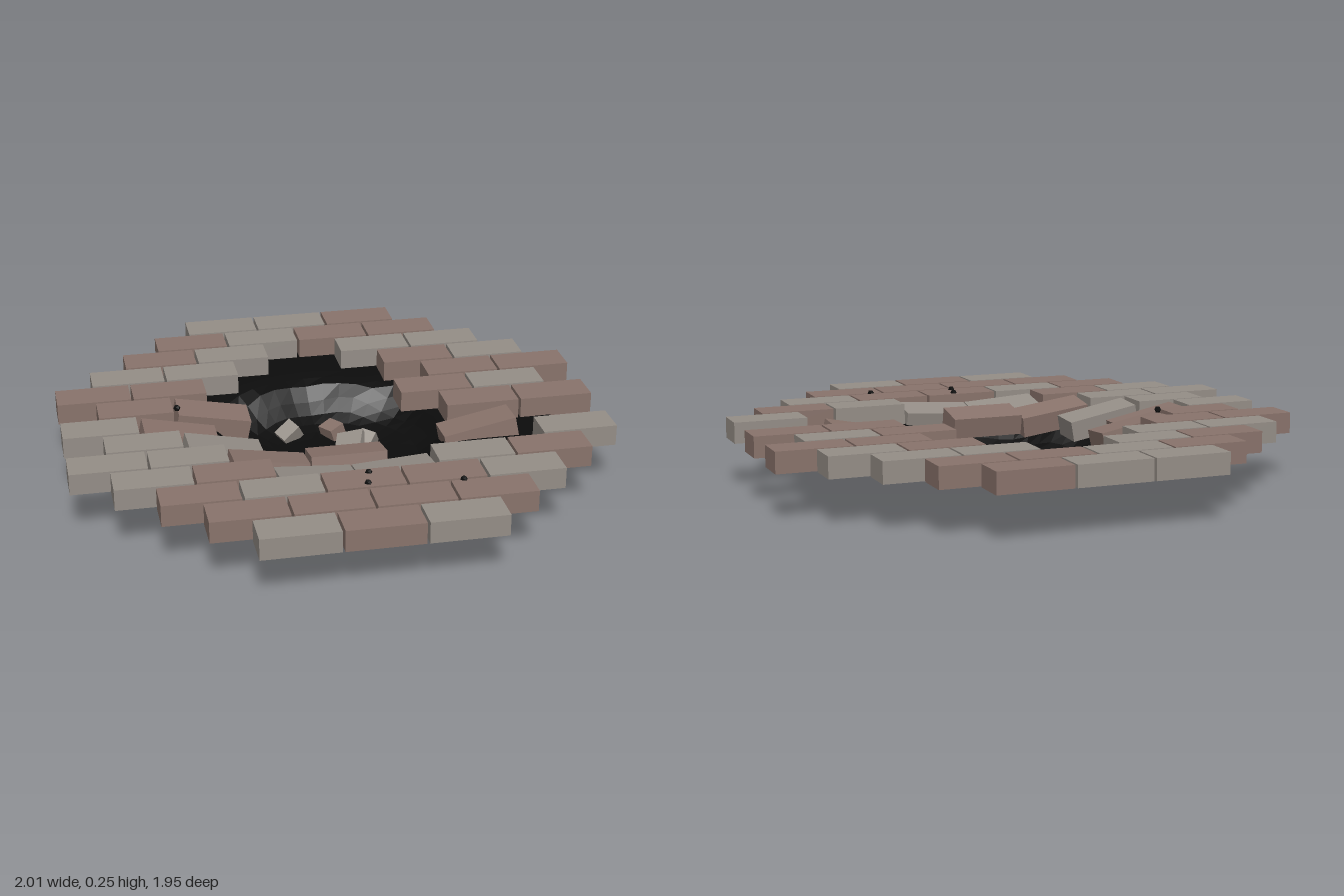
import * as THREE from 'three';

const BROWN = 0x8a746c, GREY = 0x968f88, BLACK = 0x0c0c0c;
const mat = (color) => new THREE.MeshStandardMaterial({ color, flatShading: true, side: THREE.DoubleSide });
const mats = { b: mat(BROWN), g: mat(GREY), k: mat(BLACK) };

// Rows of the brick bond: first column, then b = brown, g = grey, lower case = sunken, dot = gone
const ROWS = [
  [-1, 'GGB'], [-1.5, 'BGBB'], [-2, 'BG.GG'], [-2.5, 'GG..BG'], [-3, 'BB...BB'],
  [-2.5, 'Bb..BG'], [-3, 'Gb...BB'], [-2.5, 'Gg'], [-3, 'GGbb..G'],
  [-2.5, 'GBggGB'], [-2, 'BGBBG'], [-1.5, 'BBBB'], [-1, 'GBG'],
];
const ANGLE = THREE.MathUtils.degToRad(25);
const PITCH = 0.273, ROW = 0.1377, TOP_ROW = -0.837;
const UP = new THREE.Vector3(0, 1, 0);

// Box without its underside
function openBox(w, h, d) {
  const geo = new THREE.BoxGeometry(w, h, d);
  const idx = Array.from(geo.index.array);
  idx.splice(18, 6);
  geo.setIndex(idx);
  geo.clearGroups();
  return geo;
}

// Black ground disc pressed down into a ragged pit
function craterGeometry() {
  const profile = [[0, 0.03], [0.22, 0.035], [0.31, 0.055], [0.36, 0.09], [0.42, 0.15], [0.5, 0.162], [0.81, 0.163]];
  const geo = new THREE.RingGeometry(0.001, 0.81, 40, 18);
  geo.rotateX(-Math.PI / 2);
  const p = geo.attributes.position;
  for (let i = 0; i < p.count; i++) {
    const x = p.getX(i), z = p.getZ(i), a = Math.atan2(z, x);
    const r = Math.hypot(x, z);
    const rr = r * (1 + 0.06 * Math.sin(3 * a + 1) + 0.04 * Math.sin(7 * a));
    let k = 1;
    while (k < profile.length - 1 && profile[k][0] < rr) k++;
    const [r0, y0] = profile[k - 1], [r1, y1] = profile[k];
    const t = Math.min(1, (rr - r0) / (r1 - r0));
    p.setXYZ(i, Math.min(x, 0.76), y0 + (y1 - y0) * t, z);
  }
  // gap broken through near the front of the pit
  const src = geo.index.array, kept = [];
  for (let i = 0; i < src.length; i += 3) {
    const tri = [src[i], src[i + 1], src[i + 2]];
    const cx = tri.reduce((s, v) => s + p.getX(v), 0) / 3;
    const cz = tri.reduce((s, v) => s + p.getZ(v), 0) / 3;
    if (!(cx > 0.08 && cx < 0.3 && cz > 0.36 && cz < 0.46)) kept.push(...tri);
  }
  geo.setIndex(kept);
  geo.computeVertexNormals();
  return geo;
}

export function createModel() {
  const model = new THREE.Group();
  model.name = 'brickCrater';

  const add = (parent, name, geo, material, x, y, z) => {
    const mesh = new THREE.Mesh(geo, material);
    mesh.name = name;
    mesh.position.set(x, y, z);
    parent.add(mesh);
    return mesh;
  };

  add(model, 'craterGround', craterGeometry(), mats.k, 0, 0, 0);

  // Paving bricks
  const paving = new THREE.Group();
  paving.name = 'paving';
  model.add(paving);
  const brickGeo = openBox(0.264, 0.075, 0.126);
  const brick = (col, row, code) => {
    const u = col * PITCH, v = TOP_ROW + row * ROW;
    const x = u * Math.cos(ANGLE) + v * Math.sin(ANGLE);
    const z = -u * Math.sin(ANGLE) + v * Math.cos(ANGLE);
    const key = code.toLowerCase(), sunk = code === key;
    const mesh = add(paving, sunk ? 'sunkenBrick' : 'brick', brickGeo, mats[key], x, sunk ? 0.165 : 0.197, z);
    mesh.rotation.y = ANGLE;
    if (sunk) {
      // the end towards the pit tips down
      const axis = new THREE.Vector3(x, 0, z).normalize().cross(UP);
      mesh.quaternion.premultiply(new THREE.Quaternion().setFromAxisAngle(axis, 0.2));
    }
  };
  ROWS.forEach(([start, codes], row) => {
    [...codes].forEach((code, i) => { if (code !== '.') brick(start + i, row, code); });
  });
  brick(1.85, 7, 'b');

  // Broken brick pieces in the pit: x, y, z, size, colour, turn
  [
    [-0.19, 0.055, -0.13, 0.075, 'g', 0.9],
    [-0.04, 0.055, -0.19, 0.075, 'b', -0.6],
    [0.05, 0.05, -0.11, 0.1, 'g', 0.1],
    [0.1, 0.05, -0.14, 0.07, 'g', 1.3],
    [0.07, 0.045, 0.02, 0.07, 'g', 0.4],
  ].forEach(([x, y, z, s, key, turn]) => {
    const piece = add(model, 'rubble', new THREE.BoxGeometry(s, 0.055, s * 0.8), mats[key], x, y, z);
    piece.rotation.set(0.35, turn, 0.3);
  });

  // Pebbles thrown onto the paving
  const pebbleGeo = new THREE.IcosahedronGeometry(0.013, 0);
  [[0.235, 0.445], [0.25, 0.52], [0.55, 0.42], [-0.535, 0.12]].forEach(([x, z]) =>
    add(model, 'pebble', pebbleGeo, mats.k, x, 0.235, z));

  return model;
}
